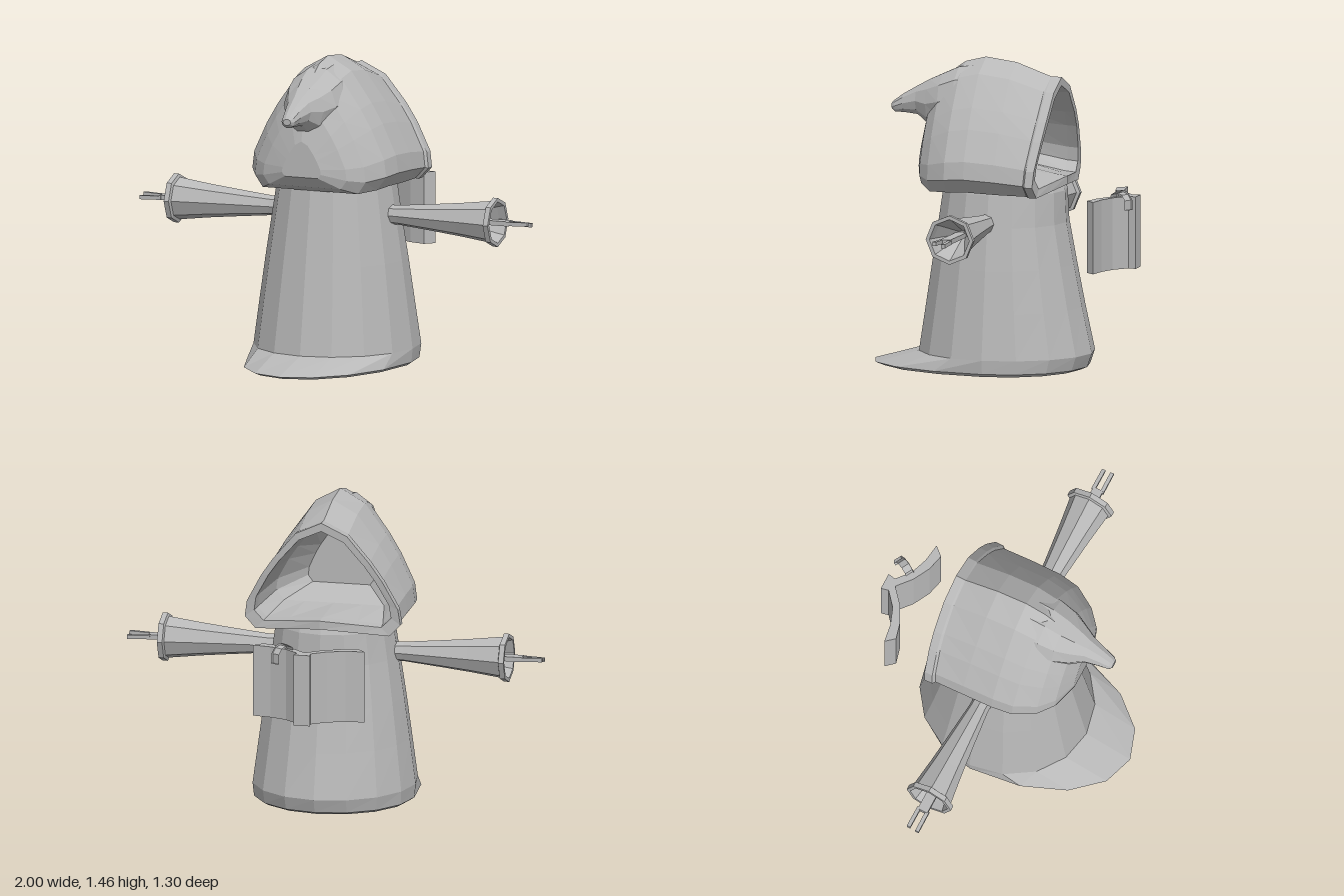
import * as THREE from 'three';

const stone = new THREE.MeshStandardMaterial({ color: 0xb8b8b8 });
stone.name = 'plain grey';

function part(name, geometry) {
  const g = geometry.index ? geometry.toNonIndexed() : geometry;
  g.computeVertexNormals(); // unshared corners give flat facets
  const mesh = new THREE.Mesh(g, stone);
  mesh.name = name;
  return mesh;
}

// Skin over closed loops (counter-clockwise seen from the advancing end), capped at both ends
function loft(loops) {
  const pos = [];
  const tri = (...pts) => pts.forEach((p) => pos.push(...p));
  const centre = (loop) => [0, 1, 2].map((k) => loop.reduce((s, p) => s + p[k], 0) / loop.length);
  const n = loops[0].length;
  const first = loops[0], last = loops[loops.length - 1];
  const c0 = centre(first), c1 = centre(last);
  for (let j = 0; j < n; j++) {
    const k = (j + 1) % n;
    tri(c0, first[k], first[j]);
    tri(c1, last[j], last[k]);
    for (let i = 0; i < loops.length - 1; i++) {
      const a = loops[i], b = loops[i + 1];
      tri(a[j], a[k], b[k]);
      tri(a[j], b[k], b[j]);
    }
  }
  const g = new THREE.BufferGeometry();
  g.setAttribute('position', new THREE.Float32BufferAttribute(pos, 3));
  return g;
}

function ring(n, fn) {
  return Array.from({ length: n }, (_, i) => {
    const a = (i / n) * Math.PI * 2;
    return fn(Math.cos(a), Math.sin(a));
  });
}

// Robe: height, half width, reach to +z, reach to -z
function robe() {
  const rows = [
    [0.005, 0.36, 0.6, 0.36], [0.02, 0.382, 0.645, 0.395], [0.085, 0.388, 0.415, 0.418],
    [0.3, 0.36, 0.382, 0.37], [0.5, 0.333, 0.352, 0.33], [0.7, 0.303, 0.322, 0.293],
    [0.85, 0.28, 0.3, 0.287], [0.89, 0.27, 0.29, 0.27],
  ];
  return loft(rows.map(([y, rx, zf, zb]) =>
    ring(16, (c, s) => [rx * c, y, s < 0 ? -s * zf : -s * zb])));
}

// Hood: one half outline, mirrored, resized along z; starts inside the opening and wraps over the rim
function hood() {
  const half = [[0, 0], [0.5, 0], [0.86, 0], [1, 0.11], [0.97, 0.25], [0.78, 0.49], [0.62, 0.65], [0.33, 0.89], [0, 1]];
  const outline = [...half, ...half.slice(1, -1).reverse().map(([u, v]) => [-u, v])];
  // z, bottom, top, half width, outward bow of the lower lip, lean of the top
  const rows = [
    [0.12, 1.0, 1.28, 0.16, 0, 0],
    [-0.02, 0.94, 1.345, 0.28, 0, 0],
    [-0.19, 0.895, 1.345, 0.325, 0.06, 0.03],
    [-0.24, 0.89, 1.345, 0.33, 0.06, 0.03],
    [-0.24, 0.85, 1.385, 0.375, 0.06, 0.03],
    [-0.2, 0.85, 1.385, 0.375, 0.06, 0.03],
    [-0.19, 0.855, 1.385, 0.362, 0.05, 0.03],
    [-0.05, 0.86, 1.445, 0.362, 0, 0],
    [0.1, 0.865, 1.465, 0.36, 0, 0],
    [0.2, 0.86, 1.44, 0.345, 0, 0],
    [0.3, 0.853, 1.37, 0.285, 0, 0],
    [0.36, 0.88, 1.26, 0.215, 0, 0],
    [0.4, 0.93, 1.1, 0.1, 0, 0],
  ];
  return loft(rows.map(([z, b, t, w, bow, lean]) => outline.map(([u, v]) => {
    const lip = (1 - Math.abs(u)) * (1 - v);
    return [u * w, b + v * (t - b) + lip * bow * 0.5, z - bow * lip - lean * v];
  })));
}

// Drooping hood tip: z, top, bottom, half width
function hoodTip() {
  const rows = [
    [0.12, 1.44, 1.12, 0.15], [0.22, 1.425, 1.13, 0.15], [0.3, 1.388, 1.13, 0.135],
    [0.37, 1.355, 1.13, 0.1], [0.43, 1.32, 1.178, 0.065], [0.5, 1.278, 1.185, 0.045],
    [0.545, 1.245, 1.185, 0.034], [0.56, 1.23, 1.2, 0.02],
  ];
  return loft(rows.map(([z, t, b, w]) =>
    ring(10, (c, s) => [w * c, (t + b) / 2 + s * (t - b) / 2, z])));
}

// Flared sleeve with a raised cuff and a hollow end, along +x: x, radius
function sleeve() {
  const rows = [
    [0.24, 0.045], [0.33, 0.047], [0.5, 0.064], [0.65, 0.08], [0.805, 0.1],
    [0.81, 0.116], [0.835, 0.116], [0.835, 0.098], [0.8, 0.088], [0.64, 0.02],
  ];
  return loft(rows.map(([x, r]) => ring(8, (c, s) => [x, r * c, r * s])));
}

function arm(name) {
  const g = new THREE.Group();
  g.name = name;
  g.add(part('sleeve', sleeve()));
  const palm = new THREE.BoxGeometry(0.27, 0.022, 0.05);
  g.add(part('hand', palm.translate(0.765, 0, 0)));
  for (const s of [-1, 1]) {
    const finger = new THREE.BoxGeometry(0.11, 0.018, 0.018);
    finger.rotateZ(s * 0.04).translate(0.945, s * 0.003, s * 0.022);
    g.add(part('finger', finger));
  }
  g.position.set(0, 0.717, 0.015);
  return g;
}

// Upright slab drawn as [x, z] corners
function slab(corners) {
  const shape = new THREE.Shape(corners.map(([x, z]) => new THREE.Vector2(x, -z)));
  return new THREE.ExtrudeGeometry(shape, { depth: 0.34, bevelEnabled: false })
    .rotateX(-Math.PI / 2).translate(0, 0.5, 0);
}

function book() {
  const g = new THREE.Group();
  g.name = 'openBook';
  g.add(part('spine', slab([[-0.04, -0.645], [0.04, -0.645], [0.03, -0.595], [-0.03, -0.595]])));
  const wing = [[0, -0.625], [0.03, -0.61], [0.1, -0.552], [0.18, -0.523], [0.268, -0.51],
    [0.23, -0.467], [0.15, -0.487], [0.07, -0.53], [0, -0.59]];
  for (const s of [-1, 1]) g.add(part('pages', slab(wing.map(([x, z]) => [s * x, z]))));
  // Ribbon folded over the top edge: distance along, height
  const path = [[-0.045, 0.83], [-0.035, 0.855], [-0.005, 0.868], [0.025, 0.86], [0.045, 0.835], [0.045, 0.79]];
  const ribbon = loft(path.map(([d, y], i) => {
    const thick = i < 2 ? [-0.012, 0] : i < 4 ? [0, 0.01] : [0.012, 0];
    return [[0.02, 0], [0.02, 1], [-0.02, 1], [-0.02, 0]]
      .map(([w, k]) => [w, y + k * thick[1], -d - k * thick[0]]);
  }));
  const marker = part('bookmark', ribbon);
  marker.material = stone;
  marker.position.set(0.105, 0, -0.595);
  marker.rotation.y = -0.5;
  g.add(marker);
  return g;
}

export function createModel() {
  const model = new THREE.Group();
  model.name = 'hoodedFigure';
  model.add(part('robe', robe()), part('hood', hood()), part('hoodTip', hoodTip()));
  const left = arm('leftArm');
  const right = arm('rightArm');
  right.rotation.y = Math.PI;
  model.add(left, right, book());
  return model;
}
